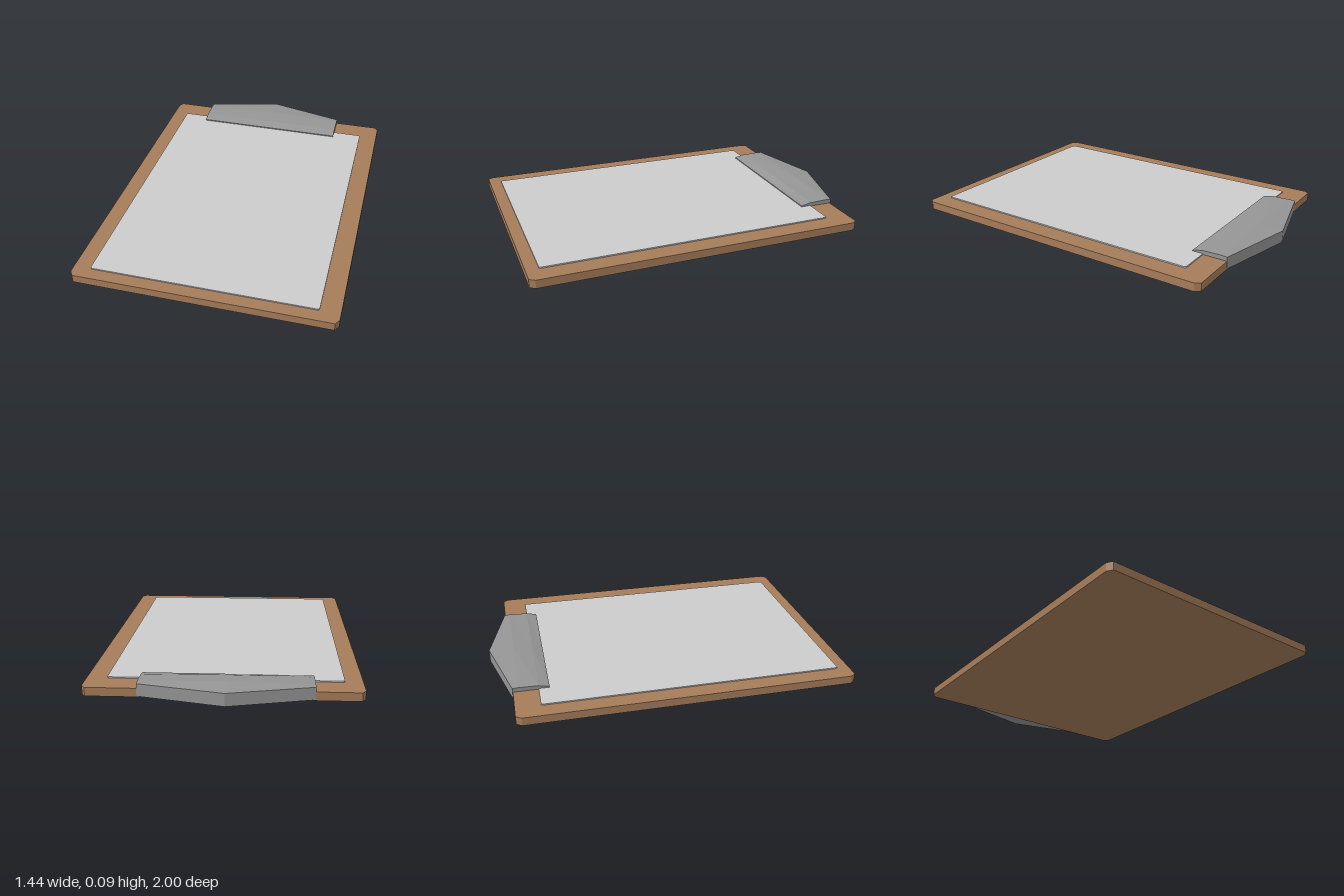
import * as THREE from 'three';

const mat = (name, color) => {
  const m = new THREE.MeshStandardMaterial({ color });
  m.name = name;
  return m;
};

// Slab with chamfered corners, lying flat between y0 and y1
function slab(name, x0, x1, z0, z1, y0, y1, cx, cz, material) {
  const shape = new THREE.Shape([
    [x0 + cx, -z1], [x1 - cx, -z1], [x1, -z1 + cz], [x1, -z0 - cz],
    [x1 - cx, -z0], [x0 + cx, -z0], [x0, -z0 - cz], [x0, -z1 + cz],
  ].map(([x, y]) => new THREE.Vector2(x, y)));
  const geo = new THREE.ExtrudeGeometry(shape, { depth: y1 - y0, bevelEnabled: false });
  geo.rotateX(-Math.PI / 2).translate(0, y0, 0);
  const mesh = new THREE.Mesh(geo, material);
  mesh.name = name;
  return mesh;
}

// Clip cross-section at x: from the front lip, over the top, down the back wall
function clipRing(x, shoulder, crown, backZ, backY) {
  return [
    [-0.69, 0.05], [-0.69, 0.06], [-0.75, shoulder], [-0.86, crown],
    [backZ, backY], [backZ, 0.005], [-0.885, 0.005], [-0.885, 0.05],
  ].map(([z, y]) => [x, y, z]);
}

function clipGeometry() {
  const rings = [
    clipRing(-0.47, 0.072, 0.075, -0.89, 0.073),
    clipRing(-0.02, 0.077, 0.085, -1, 0.075),
    clipRing(0.435, 0.072, 0.075, -0.89, 0.073),
  ];
  const pos = [];
  const tri = (a, b, c) => pos.push(...a, ...b, ...c);
  const n = rings[0].length;
  // Skin between neighbouring sections
  for (let s = 0; s < rings.length - 1; s++) {
    for (let k = 0; k < n; k++) {
      const j = (k + 1) % n;
      tri(rings[s][k], rings[s + 1][k], rings[s + 1][j]);
      tri(rings[s][k], rings[s + 1][j], rings[s][j]);
    }
  }
  // End caps, fanned from the inner corner
  const left = rings[2], right = rings[0];
  for (let k = 0; k < n - 2; k++) {
    tri(right[n - 1], right[k], right[k + 1]);
    tri(left[n - 1], left[k + 1], left[k]);
  }
  const geo = new THREE.BufferGeometry();
  geo.setAttribute('position', new THREE.Float32BufferAttribute(pos, 3));
  geo.computeVertexNormals();
  return geo;
}

export function createModel() {
  const wood = mat('wood', 0xa67c5a);
  const paper = mat('paper', 0xcccccc);
  const metal = mat('metal', 0x959595);

  const group = new THREE.Group();
  group.name = 'clipboard';
  group.add(slab('board', -0.722, 0.722, -0.888, 1, 0, 0.047, 0.02, 0.03, wood));
  group.add(slab('paperSheet', -0.627, 0.613, -0.75, 0.93, 0.047, 0.054, 0.006, 0.01, paper));

  const clip = new THREE.Mesh(clipGeometry(), metal);
  clip.name = 'clip';
  group.add(clip);
  return group;
}
